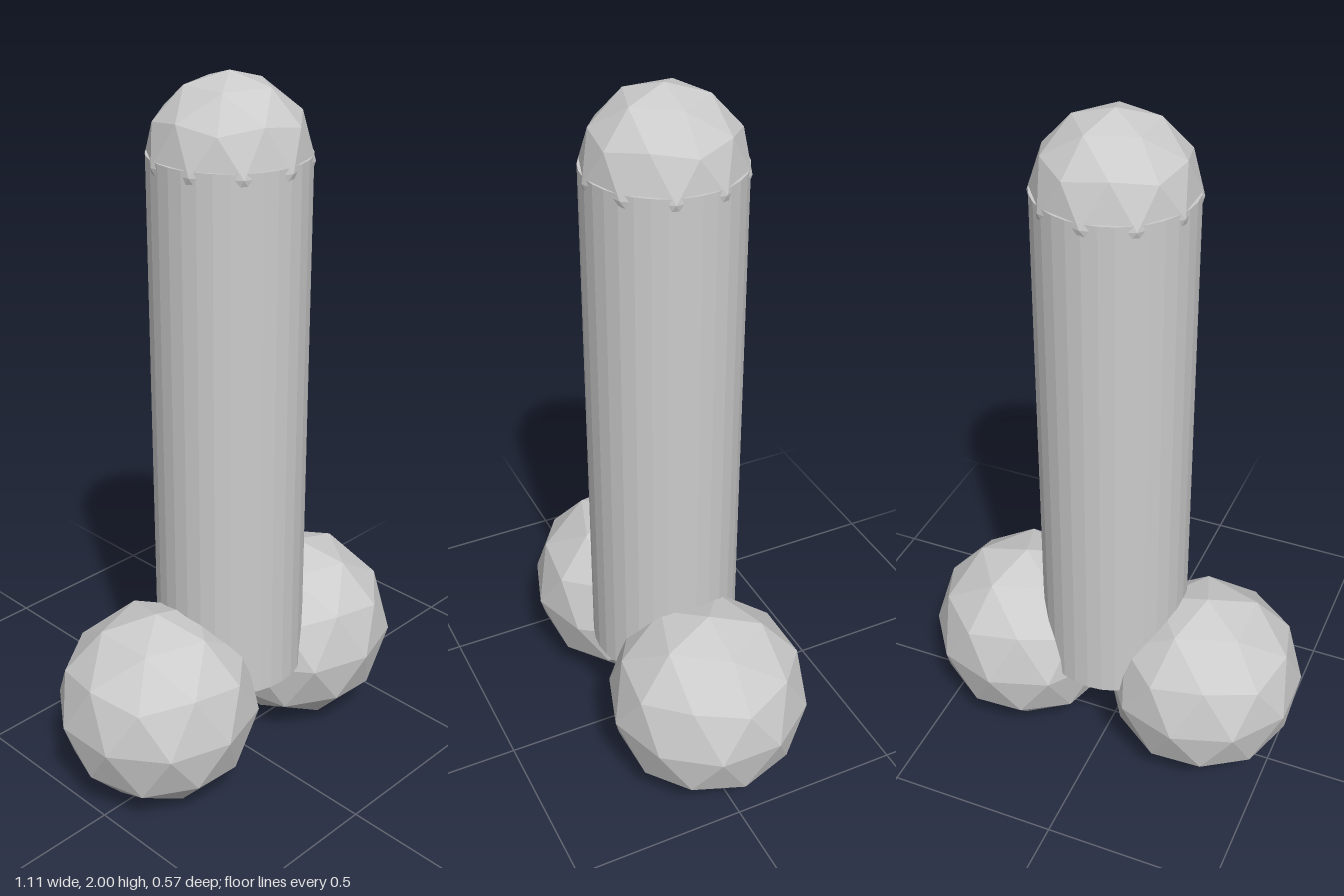
import * as THREE from 'three';

const material = new THREE.MeshStandardMaterial({ color: 0xcccccc, flatShading: true });

// Faceted ball with one corner straight up and an upper-ring corner towards +x
function facetedBall(name, radius, x, y) {
  const geometry = new THREE.IcosahedronGeometry(radius, 1);
  geometry.rotateZ(-Math.atan(2 / (1 + Math.sqrt(5))));
  const mesh = new THREE.Mesh(geometry, material);
  mesh.name = name;
  mesh.position.set(x, y, 0);
  return mesh;
}

export function createModel() {
  const model = new THREE.Group();
  model.name = 'model';

  // Upright column, its foot held between the two base balls
  const bottom = 0.31, top = 1.8;
  const column = new THREE.Mesh(
    new THREE.CylinderGeometry(0.21, 0.21, top - bottom, 32), material);
  column.name = 'column';
  column.position.y = (bottom + top) / 2;
  model.add(column);

  // Domed top: a ball sunk into the column's upper end
  model.add(facetedBall('dome', 0.215, 0, 1.785));

  // Base balls, one at each side
  for (const [name, side] of [['leftBall', 1], ['rightBall', -1]]) {
    model.add(facetedBall(name, 0.286, side * 0.285, 0.288));
  }

  return model;
}
